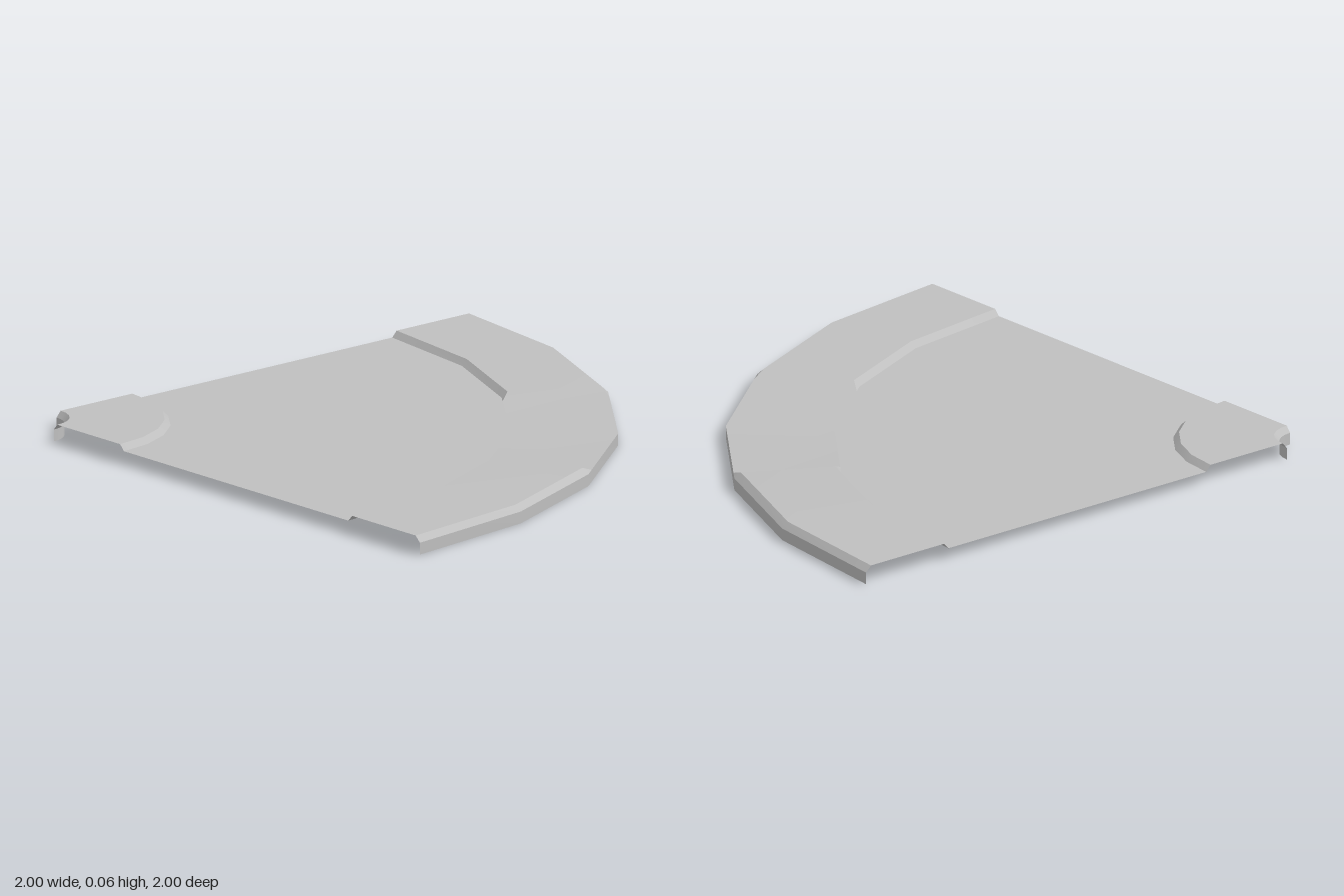
import * as THREE from 'three';

const STEP = 15;                 // degrees per facet of the quarter circle
const LOW = 0.042, HIGH = 0.063; // road level and raised level
const RAMP = 1.6;                // degrees over which a curb slopes down

const rad = THREE.MathUtils.degToRad;

// Point on a 15 degree faceted arc around the back right corner
function arcPoint(r, y, deg) {
  const half = STEP / 2;
  const chord = r * Math.cos(rad(half)) / Math.cos(rad((deg % STEP) - half));
  return [-1 + chord * Math.sin(rad(deg)), y, -1 + chord * Math.cos(rad(deg))];
}

// Strip between two profile rules; each rule gives [radius, height] at an angle
function band(name, angles, inner, outer, material) {
  const positions = [], indices = [];
  angles.forEach((deg, i) => {
    positions.push(...arcPoint(...inner(deg), deg), ...arcPoint(...outer(deg), deg));
    if (i > 0) {
      const a = 2 * (i - 1);
      indices.push(a, a + 1, a + 3, a, a + 3, a + 2);
    }
  });
  const geometry = new THREE.BufferGeometry();
  geometry.setAttribute('position', new THREE.Float32BufferAttribute(positions, 3));
  geometry.setIndex(indices);
  geometry.computeVertexNormals();
  const mesh = new THREE.Mesh(geometry, material);
  mesh.name = name;
  return mesh;
}

export function createModel() {
  const group = new THREE.Group();
  group.name = 'roadCorner';
  const grey = new THREE.MeshStandardMaterial({ color: 0xbfbfbf, side: THREE.DoubleSide });
  grey.name = 'roadGrey';

  const even = [0, 15, 30, 45, 60, 75, 90];
  const full = [0, 15, 30, 30 + RAMP, 45, 60 - RAMP, 60, 75, 90];
  const at = (r, y) => () => [r, y];
  const add = (name, angles, inner, outer) => group.add(band(name, angles, inner, outer, grey));

  // Raised inner corner with its bevels and wall
  add('cornerWall', even, at(0.107, 0), at(0.107, LOW));
  add('cornerInnerBevel', even, at(0.107, LOW), at(0.125, HIGH));
  add('cornerTop', even, at(0.125, HIGH), at(0.45, HIGH));
  add('cornerOuterBevel', even, at(0.45, HIGH), at(0.47, LOW));

  // Flat road
  add('road', full, at(0.47, LOW), at(1.63, LOW));

  // Outer border: raised at both ends, dropping to road level in the middle
  const raised = (deg) => deg <= 30 || deg >= 60;
  const curbInner = (deg) => raised(deg) ? [1.65, HIGH] : [1.63, LOW];
  const curbOuter = (deg) => raised(deg) ? [1.978, HIGH] : [2, LOW];
  add('borderTop', full, curbInner, curbOuter);
  [['left', full.slice(0, 4)], ['right', full.slice(5)]].forEach(([side, angles]) => {
    add(side + 'CurbInnerBevel', angles, at(1.63, LOW), curbInner);
    add(side + 'CurbOuterBevel', angles, curbOuter, at(2, LOW));
  });

  // Outer wall
  add('outerWall', even, at(2, LOW), at(2, 0));
  return group;
}
